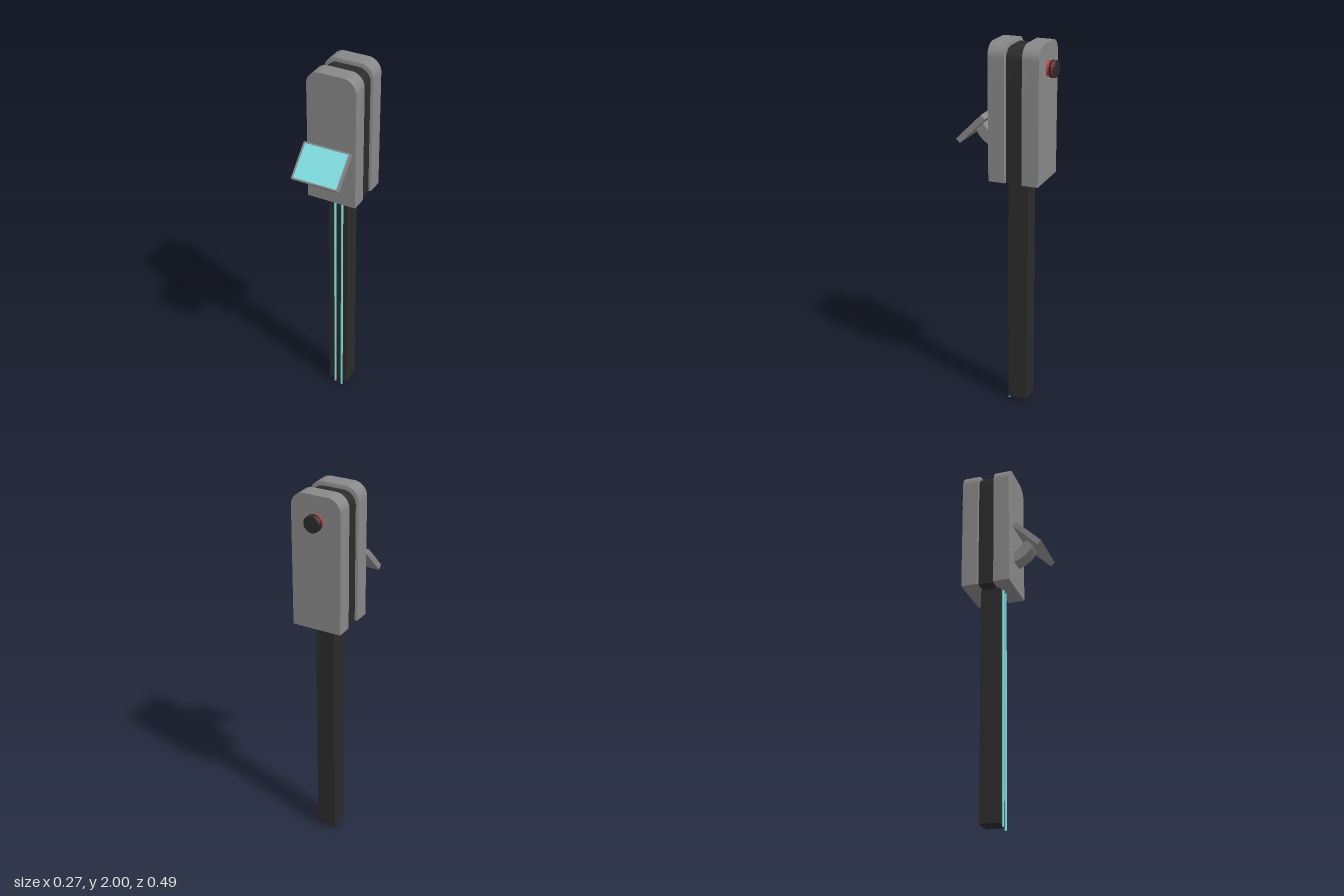
import * as THREE from 'three';
import { toCreasedNormals } from 'three/addons/utils/BufferGeometryUtils.js';

const mat = (color) => new THREE.MeshStandardMaterial({ color });
const grey = mat(0x888888), black = mat(0x2b2b2b), cyan = mat(0x7fdfe2), red = mat(0xd43333);

function add(parent, name, geometry, material, x = 0, y = 0, z = 0) {
  const mesh = new THREE.Mesh(geometry, material);
  mesh.name = name;
  mesh.position.set(x, y, z);
  parent.add(mesh);
  return mesh;
}

// Upright slab outline: square at the bottom, rounded at the top
function slabShape(w, y0, y1, r) {
  const s = new THREE.Shape();
  s.moveTo(-w, y0);
  s.lineTo(w, y0);
  s.lineTo(w, y1 - r);
  s.absarc(w - r, y1 - r, r, 0, Math.PI / 2);
  s.lineTo(-w + r, y1);
  s.absarc(-w + r, y1 - r, r, Math.PI / 2, Math.PI);
  s.closePath();
  return s;
}

function extrude(shape, depth) {
  return new THREE.ExtrudeGeometry(shape, { depth, bevelEnabled: false, curveSegments: 12 });
}
const smooth = (g) => toCreasedNormals(g, 0.6);

function rect(w, h, Type = THREE.Shape) {
  const p = new Type();
  p.moveTo(-w, -h);
  p.lineTo(w, -h);
  p.lineTo(w, h);
  p.lineTo(-w, h);
  p.closePath();
  return p;
}

// Half of the housing, outer face at +z, with a slightly tapered inner rim
function shellHalf(name) {
  const half = new THREE.Group();
  half.name = name;
  const outline = slabShape(0.133, 1.297, 2, 0.07);
  add(half, 'shell', smooth(extrude(outline, 0.087)), grey, 0, 0, 0.004);
  const rim = extrude(outline, 0.004);
  const p = rim.attributes.position;
  for (let i = 0; i < p.count; i++) {
    if (p.getZ(i) > 0.002) continue;
    p.setX(i, p.getX(i) * 0.91);
    if (p.getY(i) > 1.5) p.setY(i, p.getY(i) - 0.012);
  }
  add(half, 'innerRim', smooth(rim), grey);
  return half;
}

export function createModel() {
  const model = new THREE.Group();

  // Housing: two shells around a dark core
  const front = shellHalf('frontShell');
  front.position.z = -0.027;
  const back = shellHalf('backShell');
  back.rotation.y = Math.PI;
  back.position.z = -0.111;
  model.add(front, back);
  add(model, 'core', smooth(extrude(slabShape(0.12, 1.298, 1.98, 0.065), 0.092)), black, 0, 0, -0.115);

  // Post and the two rods running down its front
  add(model, 'post', new THREE.BoxGeometry(0.106, 1.3, 0.105), black, -0.002, 0.672, -0.065);
  for (const [x, bottom] of [[-0.016, 0.009], [0.024, 0]]) {
    const length = 1.31 - bottom;
    add(model, 'rod', new THREE.CylinderGeometry(0.006, 0.006, length, 16), cyan, x, bottom + length / 2, -0.007);
  }

  // Tilted display: back plate, raised bezel and recessed screen
  const display = new THREE.Group();
  display.name = 'display';
  display.position.set(-0.001, 1.557, 0.163);
  display.rotation.x = -Math.PI / 4;
  add(display, 'backPlate', new THREE.BoxGeometry(0.254, 0.194, 0.026), grey, 0, 0, -0.002);
  const bezel = rect(0.127, 0.097);
  bezel.holes.push(rect(0.119, 0.09, THREE.Path));
  add(display, 'bezel', extrude(bezel, 0.004), grey, 0, 0, 0.011);
  add(display, 'screen', new THREE.BoxGeometry(0.238, 0.18, 0.002), cyan, 0, 0, 0.0105);
  model.add(display);

  // Curved arm, drawn in the z-y plane and extruded across x
  const arm = new THREE.Shape();
  arm.moveTo(0.055, 1.445);
  arm.lineTo(0.064, 1.445);
  arm.quadraticCurveTo(0.148, 1.472, 0.174, 1.546);
  arm.lineTo(0.136, 1.58);
  arm.quadraticCurveTo(0.1, 1.515, 0.064, 1.512);
  arm.lineTo(0.055, 1.512);
  arm.closePath();
  const armMesh = add(model, 'displayArm', smooth(extrude(arm, 0.084)), grey, 0.042, 0, 0);
  armMesh.rotation.y = -Math.PI / 2;
  armMesh.position.x = 0.042;

  // Button on the back: red stem with two black rounded discs
  const button = new THREE.Group();
  button.name = 'button';
  button.position.set(-0.002, 1.87, -0.2);
  button.rotation.x = -Math.PI / 2;
  add(button, 'stem', new THREE.CylinderGeometry(0.04, 0.04, 0.042, 32), red, 0, 0.019, 0);
  for (const [name, y0, y1] of [['ring', 0.016, 0.031], ['cap', 0.037, 0.046]]) {
    const c = 0.003;
    const profile = [[0, y0], [0.044 - c, y0], [0.044, y0 + c], [0.044, y1 - c], [0.044 - c, y1], [0, y1]]
      .map(([r, y]) => new THREE.Vector2(r, y));
    add(button, name, smooth(new THREE.LatheGeometry(profile, 32)), black);
  }
  model.add(button);

  return model;
}
